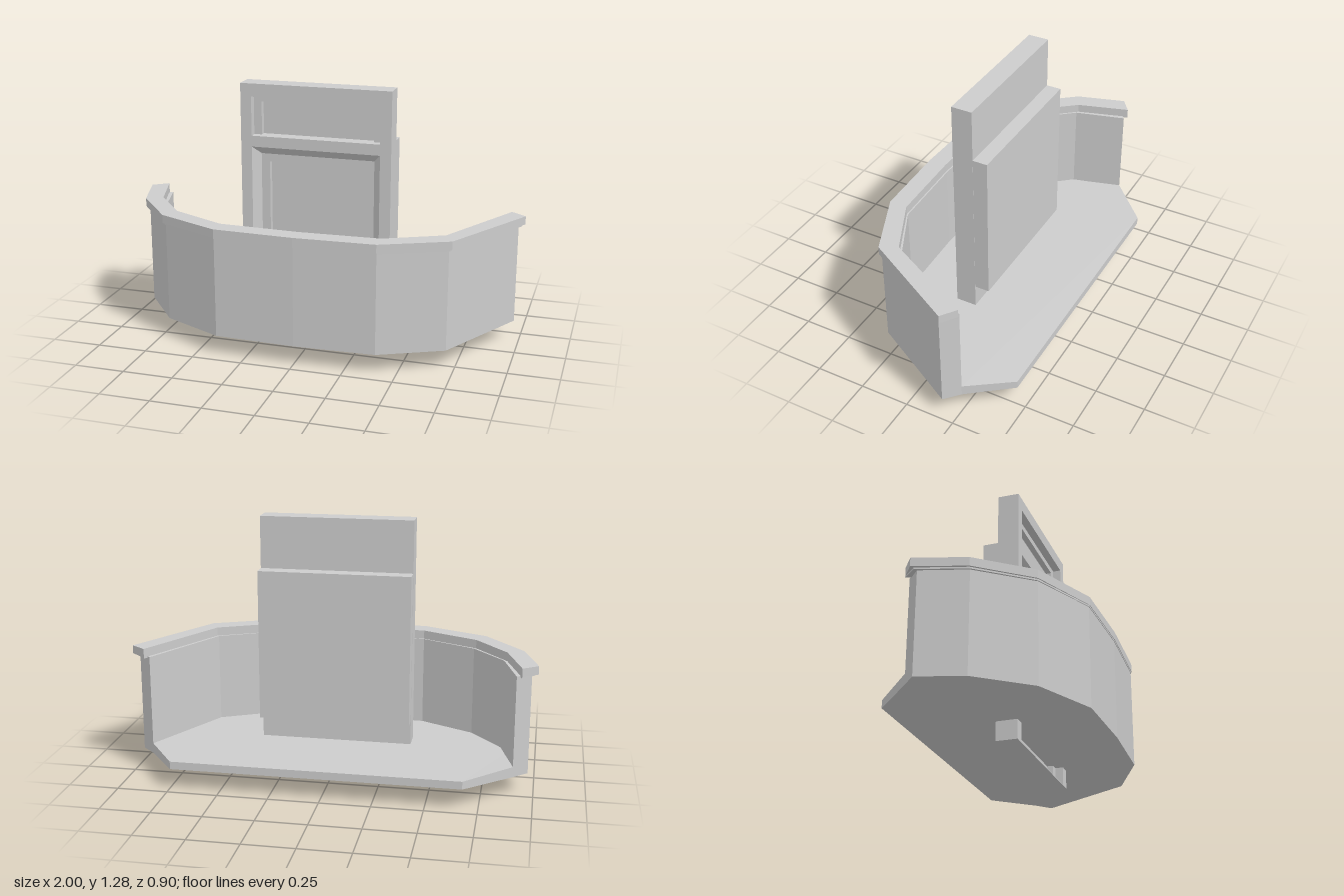
import * as THREE from 'three';

const stone = new THREE.MeshStandardMaterial({ color: 0xcccccc });
stone.name = 'pale grey';

function part(name, geometry, parent) {
  const mesh = new THREE.Mesh(geometry, stone);
  mesh.name = name;
  parent.add(mesh);
  return mesh;
}

// Extrude a plan outline of [x, z] points upwards from y0 to y1
function slab(points, y0, y1) {
  const shape = new THREE.Shape(points.map(([x, z]) => new THREE.Vector2(x, -z)));
  const g = new THREE.ExtrudeGeometry(shape, { depth: y1 - y0, bevelEnabled: false });
  return g.rotateX(-Math.PI / 2).translate(0, y0, 0);
}

// Upright plate with rectangular openings [halfWidth, bottom, top]
function plate(openings, z0, z1) {
  const rect = (Type, w, a, b) => new Type([[-w, a], [w, a], [w, b], [-w, b]]
    .map(([x, y]) => new THREE.Vector2(x, y)));
  const shape = rect(THREE.Shape, 0.38, 0, 1.285);
  shape.holes = openings.map((o) => rect(THREE.Path, ...o));
  return new THREE.ExtrudeGeometry(shape, { depth: z1 - z0, bevelEnabled: false })
    .translate(0, 0, z0);
}

// Four sloping faces from a front opening to a smaller back opening
function splay(front, zFront, back, zBack) {
  const ring = ([w, a, b], z) => [[-w, a, z], [w, a, z], [w, b, z], [-w, b, z]];
  const f = ring(front, zFront), k = ring(back, zBack), pos = [];
  for (let i = 0; i < 4; i++) {
    const j = (i + 1) % 4;
    pos.push(...f[i], ...f[j], ...k[j], ...f[i], ...k[j], ...k[i]);
  }
  const g = new THREE.BufferGeometry();
  g.setAttribute('position', new THREE.Float32BufferAttribute(pos, 3));
  g.computeVertexNormals();
  return g;
}

export function createModel() {
  const model = new THREE.Group();
  model.name = 'balcony';

  // Curved parapet wall
  const wallOuter = [[-0.97, -0.18], [-0.905, 0.04], [-0.71, 0.285], [-0.4, 0.43],
    [0, 0.445], [0.4, 0.43], [0.71, 0.285], [0.97, -0.18]];
  const wallInner = [[0.9, -0.245], [0.67, 0.2], [0.4, 0.335], [0, 0.35],
    [-0.4, 0.335], [-0.67, 0.2], [-0.83, 0.01], [-0.9, -0.245]];
  part('parapetWall', slab([...wallOuter, ...wallInner], 0.095, 0.6), model);

  // Handrail with a narrow lower lip
  const railOuter = [[-1, -0.2], [-0.925, 0.045], [-0.725, 0.29], [-0.4, 0.435],
    [0, 0.45], [0.4, 0.435], [0.725, 0.29], [1, -0.2]];
  const railInner = [[0.925, -0.255], [0.68, 0.207], [0.4, 0.342], [0, 0.357],
    [-0.4, 0.342], [-0.68, 0.207], [-0.845, 0.005], [-0.925, -0.255]];
  part('handrail', slab([...railOuter, ...railInner], 0.602, 0.644), model);
  const lip = railOuter.map(([x, z], i) => [(x + wallOuter[i][0]) / 2, (z + wallOuter[i][1]) / 2]);
  part('handrailLip', slab([...lip, ...railInner], 0.594, 0.602), model);

  // Floor, slightly thinner along its rear edge
  const floor = slab([...wallOuter, [0.9, -0.245], [0.745, -0.455], [-0.675, -0.455],
    [-0.9, -0.245]], 0.095, 0.147);
  const p = floor.attributes.position;
  for (let i = 0; i < p.count; i++) {
    if (p.getZ(i) < -0.4) p.setY(i, p.getY(i) > 0.12 ? 0.14 : 0.101);
  }
  floor.computeVertexNormals();
  part('floor', floor, model);

  // Door surround: stepped openings in layered plates
  const door = new THREE.Group();
  door.name = 'door';
  model.add(door);
  const doorOuter = [0.325, 0.31, 0.97], doorInner = [0.288, 0.35, 0.93];
  part('doorFrame', plate([[0.325, 1.025, 1.22], doorOuter, [0.325, 0.004, 0.25]], 0.04, 0.08), door);
  part('panelSurround', plate([[0.285, 1.025, 1.19], [0.245, 0.39, 0.89], [0.285, 0.037, 0.25]],
    0.01, 0.04), door);
  part('doorSlab', plate([], -0.025, 0.01), door);
  part('splayedReveal', splay(doorOuter, 0.08, doorInner, 0.04), door);

  // Box behind the door
  const back = part('doorBackBox', new THREE.BoxGeometry(0.758, 0.757, 0.075), door);
  back.position.set(0, 0.6465, -0.0625);
  return model;
}
